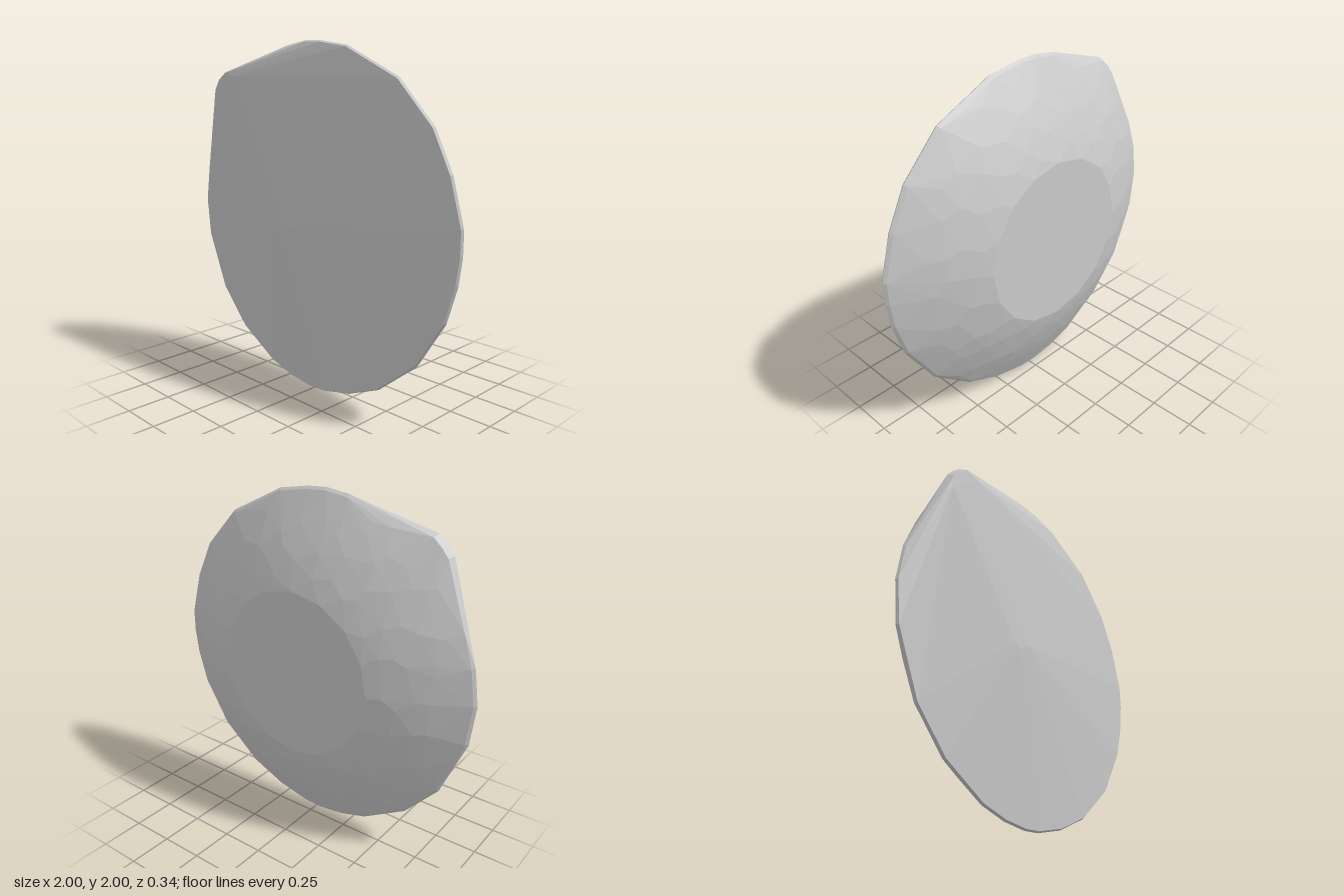
import * as THREE from 'three';
import { ConvexGeometry } from 'three/addons/geometries/ConvexGeometry.js';

// Small seeded generator for the slightly irregular facets
function seeded(seed) {
  return () => {
    seed = (seed * 16807) % 2147483647;
    return seed / 2147483647;
  };
}

export function createModel() {
  const group = new THREE.Group();
  const rand = seeded(41);
  const points = [];
  const add = (x, y, z) => points.push(new THREE.Vector3(x, y, z));

  // Domed back: staggered rings of points on a shallow sphere cap
  const R = 1.79, centreZ = 1.553;
  const domeZ = (r) => centreZ - Math.sqrt(R * R - r * r);
  const ring = (r, count, jitter, z) => {
    for (let i = 0; i < count; i++) {
      const a = ((i + (rand() - 0.5) * jitter * 5) / count) * Math.PI * 2;
      const rr = r + (rand() - 0.5) * jitter * 0.5;
      add(Math.cos(a) * rr, 1 + Math.sin(a) * rr, z ?? domeZ(rr));
    }
  };
  ring(0.485, 16, 0, -0.17);
  [0.56, 0.64, 0.72, 0.79, 0.86, 0.92, 0.96].forEach((r, i) => ring(r, 18 + 2 * i, 0.1));

  // Thin rim: an irregular outline with a slightly narrower front edge
  const rim = [
    [1, 1.1], [0.93, 1.35], [0.82, 1.57], [0.6, 1.8], [0.25, 1.965], [0.06, 1.995], [-0.06, 2], [-0.2, 1.98],
    [-0.97, 1.22], [-1, 1.02], [-0.975, 0.79], [-0.83, 0.45], [-0.63, 0.23], [-0.36, 0.07], [-0.19, 0.02],
    [-0.03, 0], [0.08, 0.005], [0.28, 0.05], [0.5, 0.145], [0.75, 0.35], [0.92, 0.62], [0.98, 0.82], [1, 0.97],
  ];
  for (const [x, y] of rim) {
    add(x, y, 0.063);
    add(x * 0.992, 1 + (y - 1) * 0.992, 0.077);
    add(x * 0.985, 1 + (y - 1) * 0.985, 0.047);
  }

  // Raised front ridge from near the centre to the blunt upper corner
  for (const [x, y] of [
    [-0.24, 0.95], [-0.2, 0.92], [-0.12, 0.97],
    [-0.755, 1.66], [-0.75, 1.73], [-0.71, 1.79], [-0.65, 1.83], [-0.55, 1.81],
  ]) add(x, y, 0.168);

  // Rounded side of the corner
  for (const [x, y] of [[-0.77, 1.74], [-0.73, 1.79], [-0.68, 1.835]]) {
    add(x, y, 0.14);
    add(x * 0.985, 1 + (y - 1) * 0.985, 0.1);
  }

  const body = new THREE.Mesh(
    new ConvexGeometry(points),
    new THREE.MeshStandardMaterial({ color: 0xcccccc, flatShading: true })
  );
  body.name = 'domedDisc';
  group.add(body);
  return group;
}
